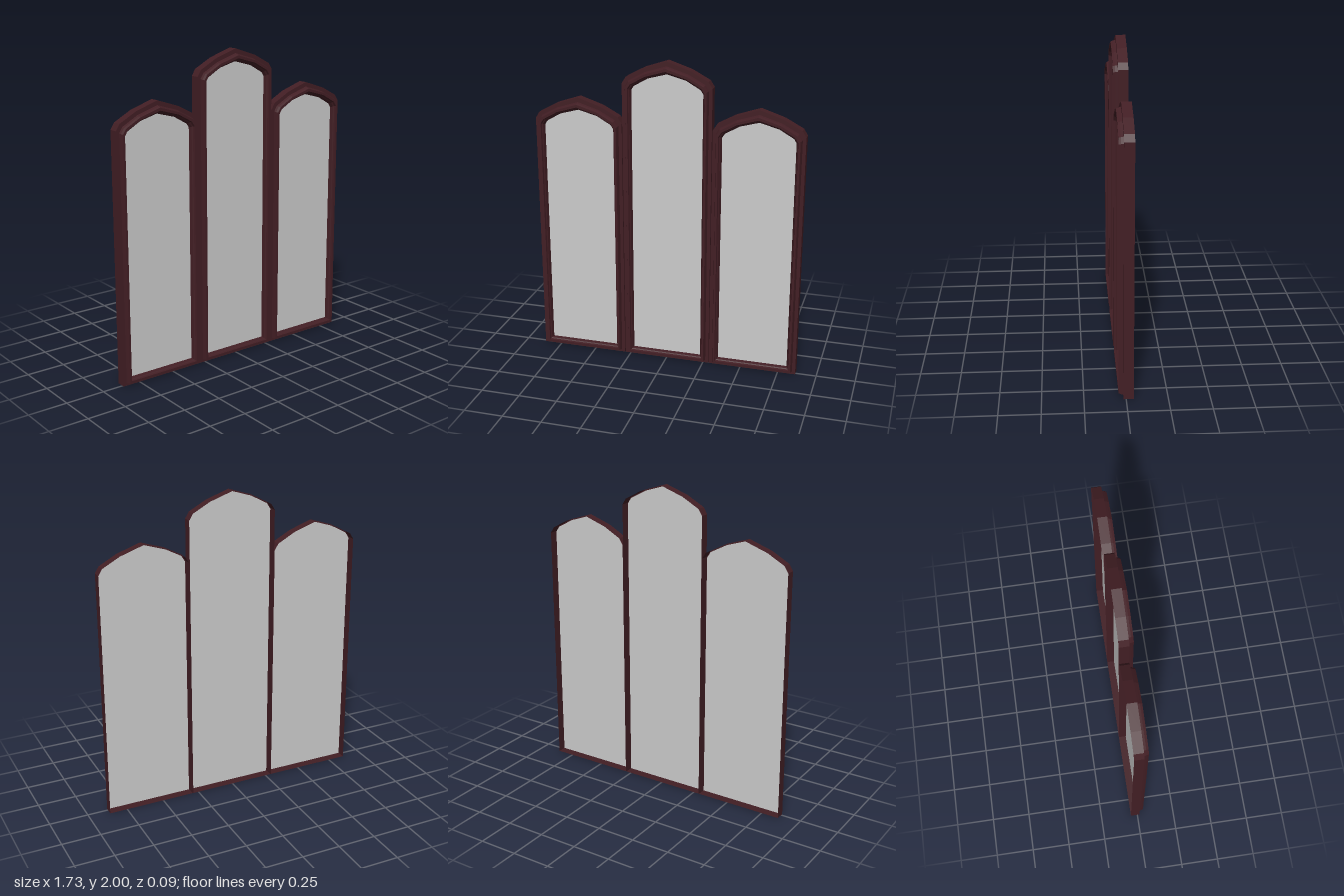
import * as THREE from 'three';

const wood = new THREE.MeshStandardMaterial({ color: 0x421e24, side: THREE.DoubleSide });
const pane = new THREE.MeshStandardMaterial({ color: 0xcccccc, side: THREE.DoubleSide });

// Right half of one arched panel: [outer x, outer y, inner x, inner y]; arch heights count down from the peak
const foot = [0.287, 0, 0.228, 0.048];
const arch = [
  [0.287, -0.15, 0.228, -0.19],
  [0.262, -0.11, 0.212, -0.165],
  [0.15, -0.05, 0.122, -0.113],
  [0, 0, 0, -0.08],
];

// Moulding profile: [0 at the outer edge to 1 at the opening, z]
const profile = [
  [0, -0.045], [0, 0.015], [0.36, 0.015], [0.42, 0.03], [0.5, 0.044],
  [0.72, 0.044], [0.78, 0.032], [0.88, 0.026], [1, 0.006],
];
const GLASS_Z = 0.004;

// Closed outline, counter-clockwise from the front, blended between outer edge and opening
function outline(height, t) {
  const half = [foot, ...arch.map(([a, b, c, d]) => [a, b + height, c, d + height])]
    .map(([a, b, c, d]) => new THREE.Vector2(a + (c - a) * t, b + (d - b) * t));
  const mirrored = half.slice(0, -1).reverse().map((p) => new THREE.Vector2(-p.x, p.y));
  return [...half, ...mirrored];
}

// Sweep the moulding round the outline, leaving the back open
function frameGeometry(height) {
  const rings = profile.map(([t, z]) => outline(height, t).map((p) => new THREE.Vector3(p.x, p.y, z)));
  const positions = [];
  for (let j = 0; j < rings.length - 1; j++) {
    const n = rings[j].length;
    for (let i = 0; i < n; i++) {
      const k = (i + 1) % n;
      const a = rings[j][i], b = rings[j][k], c = rings[j + 1][k], d = rings[j + 1][i];
      for (const p of [a, b, c, a, c, d]) positions.push(p.x, p.y, p.z);
    }
  }
  const geometry = new THREE.BufferGeometry();
  geometry.setAttribute('position', new THREE.Float32BufferAttribute(positions, 3));
  geometry.computeVertexNormals();
  return geometry;
}

function createPanel(name, x, height) {
  const panel = new THREE.Group();
  panel.name = name;
  const frame = new THREE.Mesh(frameGeometry(height), wood);
  frame.name = 'frame';
  // Pane sits behind the moulding, just inside the outer wall
  const glass = new THREE.Mesh(new THREE.ShapeGeometry(new THREE.Shape(outline(height, 0.1))), pane);
  glass.name = 'glass';
  glass.position.z = GLASS_Z;
  panel.add(frame, glass);
  panel.position.x = x;
  return panel;
}

export function createModel() {
  const model = new THREE.Group();
  model.name = 'archedWindow';
  model.add(
    createPanel('rightPanel', -0.578, 1.74),
    createPanel('centrePanel', 0, 2),
    createPanel('leftPanel', 0.578, 1.74),
  );
  return model;
}
